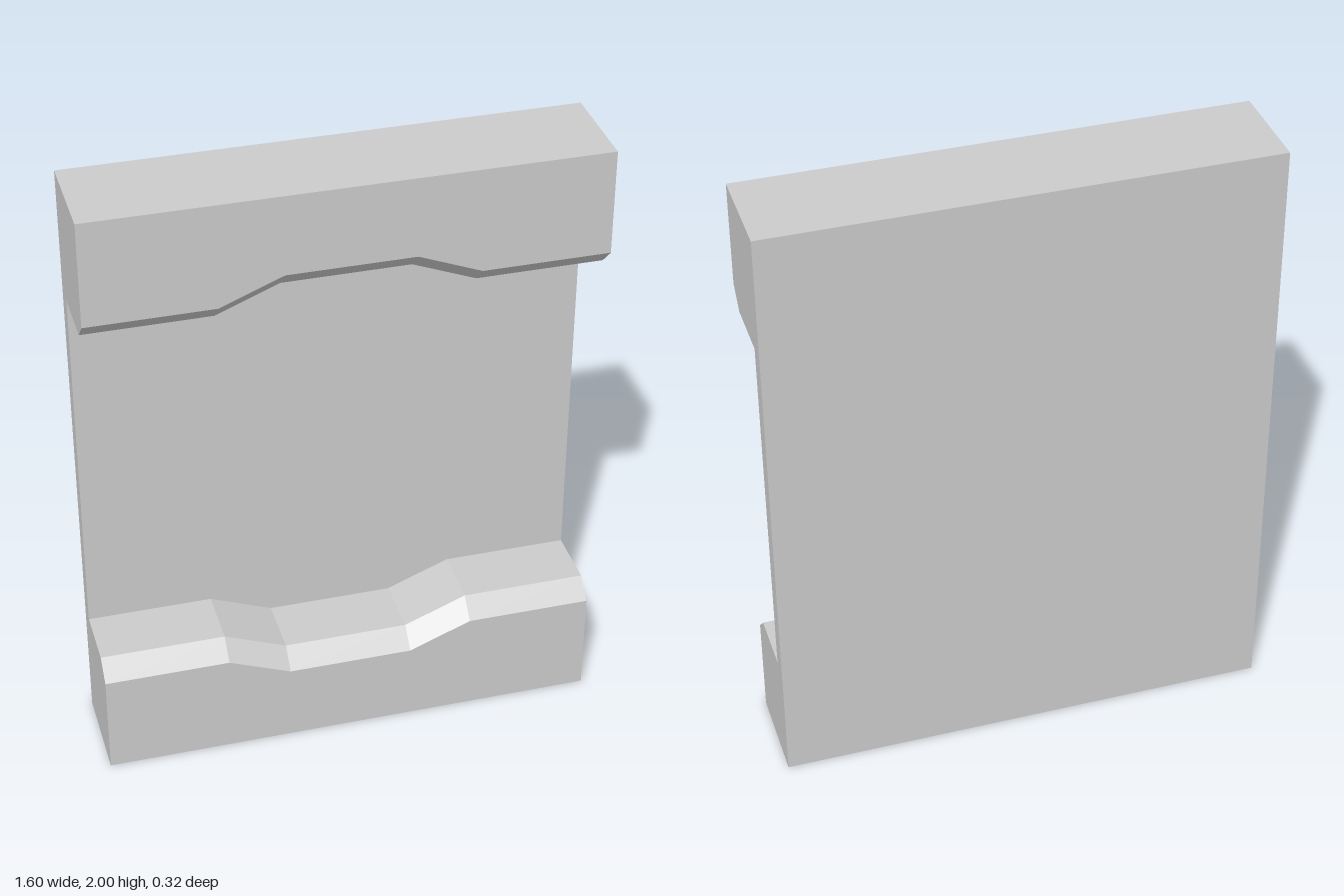
import * as THREE from 'three';

const material = new THREE.MeshStandardMaterial({ color: 0xcccccc, flatShading: true });

// Stations along the rail: [x, depth of the central dip]
const stations = [[-0.8, 0], [-0.4, 0], [-0.2, 0.08], [0.2, 0.08], [0.4, 0], [0.8, 0]];

// Rail cross-section at one station, with a chamfered front edge
const section = ([x, dip]) => [
  [x, 0, -0.1],
  [x, 0, 0.16],
  [x, 0.34 - dip, 0.16],
  [x, 0.4 - dip, 0.1],
  [x, 0.4 - dip, -0.1],
];

// Loft the sections; the upper rail is the lower one mirrored about y = 1
function railGeometry(upper) {
  const loops = stations.map(section);
  const positions = [];
  const tri = (a, b, c) => {
    for (const [x, y, z] of upper ? [a, c, b] : [a, b, c]) {
      positions.push(x, upper ? 2 - y : y, z);
    }
  };

  // Outer faces (the back lies against the plate and stays open)
  for (let s = 0; s < loops.length - 1; s++) {
    const p = loops[s], q = loops[s + 1];
    for (let i = 0; i < p.length - 1; i++) {
      tri(p[i], q[i], q[i + 1]);
      tri(p[i], q[i + 1], p[i + 1]);
    }
  }

  // End caps
  const first = loops[0], last = loops[loops.length - 1];
  for (let i = 1; i < first.length - 1; i++) {
    tri(first[0], first[i], first[i + 1]);
    tri(last[0], last[i + 1], last[i]);
  }

  const geometry = new THREE.BufferGeometry();
  geometry.setAttribute('position', new THREE.Float32BufferAttribute(positions, 3));
  geometry.computeVertexNormals();
  return geometry;
}

export function createModel() {
  const model = new THREE.Group();
  model.name = 'recessedPanel';

  // Thin full-height plate at the back
  const plate = new THREE.Mesh(new THREE.BoxGeometry(1.6, 2, 0.06), material);
  plate.name = 'backPlate';
  plate.position.set(0, 1, -0.13);
  model.add(plate);

  // Thick notched rails at bottom and top
  for (const upper of [false, true]) {
    const rail = new THREE.Mesh(railGeometry(upper), material);
    rail.name = upper ? 'topRail' : 'bottomRail';
    model.add(rail);
  }
  return model;
}
